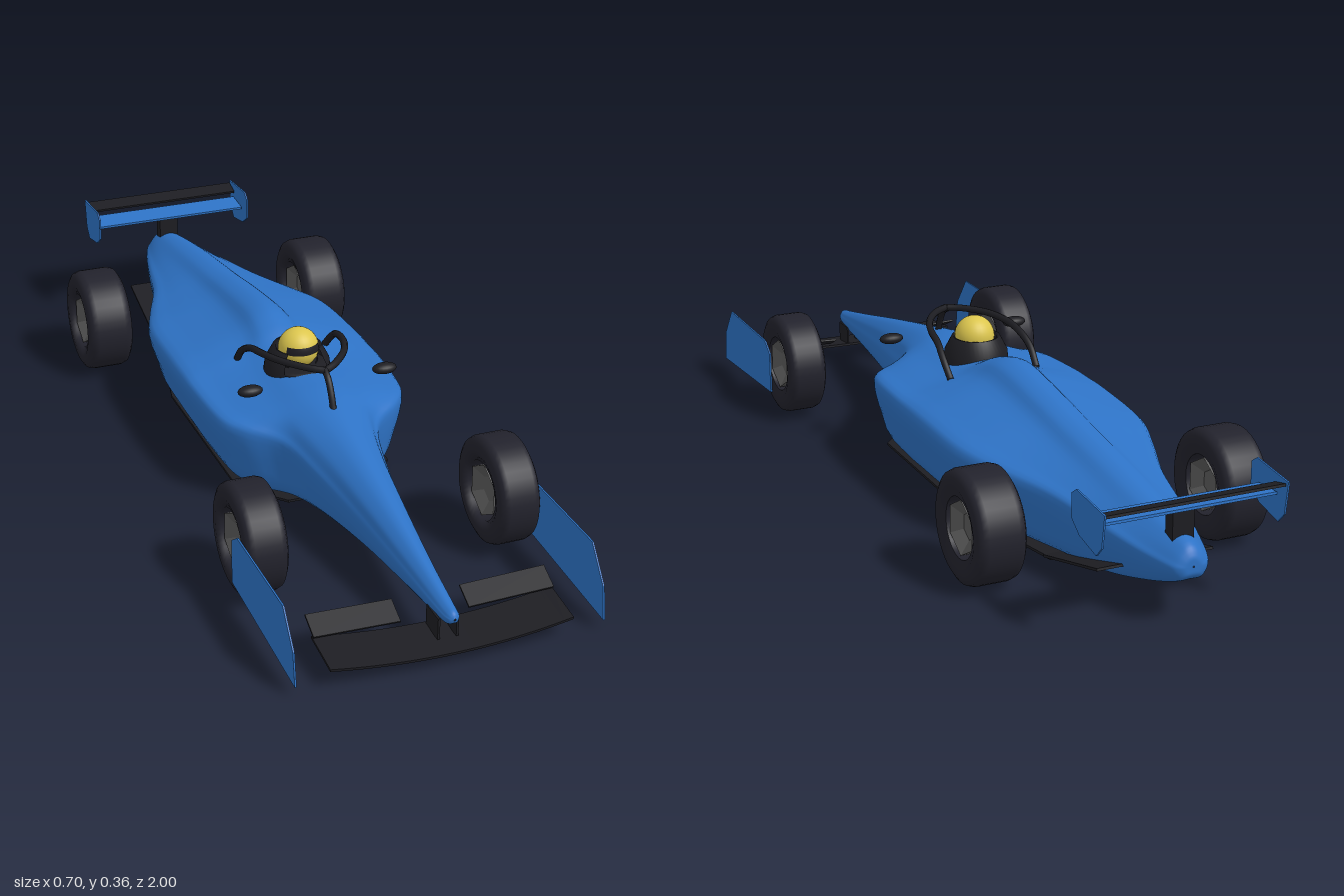
import * as THREE from 'three';

const mat = (name, color, side = THREE.FrontSide) => {
  const m = new THREE.MeshStandardMaterial({ color, side });
  m.name = name;
  return m;
};

export function createModel() {
  const car = new THREE.Group();
  car.name = 'racingCar';
  const blue = mat('bodyBlue', 0x2e73c6);
  const black = mat('trimBlack', 0x1d1d22, THREE.DoubleSide);
  const rubber = mat('tyreRubber', 0x22222c);
  const grey = mat('rimGrey', 0x5a5a5a);
  const yellow = mat('helmetYellow', 0xdcc64e);

  const add = (name, geo, material, x = 0, y = 0, z = 0) => {
    const m = new THREE.Mesh(geo, material);
    m.name = name;
    m.position.set(x, y, z);
    car.add(m);
    return m;
  };
  const V = (x, y, z) => new THREE.Vector3(x, y, z);

  // Body: [z, half width, bottom y, bottom half width, shoulder y, hump half width, top y]
  const sections = [
    [0.985, 0.002, 0.102, 0.001, 0.104, 0.0015, 0.106],
    [0.975, 0.014, 0.09, 0.008, 0.104, 0.01, 0.118],
    [0.94, 0.02, 0.083, 0.012, 0.105, 0.014, 0.125],
    [0.8, 0.033, 0.075, 0.02, 0.115, 0.024, 0.155],
    [0.6, 0.056, 0.063, 0.035, 0.135, 0.042, 0.2],
    [0.42, 0.085, 0.05, 0.06, 0.155, 0.062, 0.237],
    [0.3, 0.118, 0.038, 0.09, 0.175, 0.085, 0.26],
    [0.235, 0.19, 0.033, 0.14, 0.19, 0.1, 0.267],
    [0.17, 0.228, 0.03, 0.17, 0.198, 0.104, 0.267],
    [0.02, 0.241, 0.03, 0.18, 0.203, 0.1, 0.268],
    [-0.06, 0.242, 0.03, 0.18, 0.203, 0.082, 0.298],
    [-0.15, 0.242, 0.03, 0.18, 0.202, 0.075, 0.313],
    [-0.33, 0.234, 0.03, 0.175, 0.195, 0.07, 0.29],
    [-0.46, 0.195, 0.03, 0.145, 0.185, 0.065, 0.268],
    [-0.6, 0.143, 0.032, 0.105, 0.175, 0.06, 0.248],
    [-0.75, 0.108, 0.042, 0.075, 0.16, 0.055, 0.224],
    [-0.88, 0.075, 0.072, 0.05, 0.145, 0.045, 0.2],
    [-0.96, 0.048, 0.098, 0.03, 0.138, 0.03, 0.182],
    [-0.983, 0.028, 0.115, 0.018, 0.135, 0.018, 0.16],
    [-0.986, 0.002, 0.134, 0.001, 0.136, 0.0015, 0.138],
  ];
  const rings = sections.map(([z, w, bot, bw, sh, hw, top]) => {
    const h = top - sh;
    const half = [
      [0, bot], [bw, bot + 0.02 * (sh - bot)], [Math.max(bw, w * 0.93), (bot + sh) / 2], [w, sh],
      [hw + (w - hw) * 0.6, sh + h * 0.27], [hw, sh + h * 0.6], [hw * 0.5, top - h * 0.1], [0, top],
    ];
    const mirror = half.slice(1, 7).reverse().map(([x, y]) => [-x, y]);
    return [...half, ...mirror].map(([x, y]) => V(x, y, z));
  });
  const columns = rings[0].map((_, j) => new THREE.CatmullRomCurve3(rings.map((r) => r[j]), false, 'catmullrom', 0.5));
  const rows = 95, around = 56, pos = [], idx = [];
  for (let i = 0; i <= rows; i++) {
    const ring = new THREE.CatmullRomCurve3(columns.map((c) => c.getPoint(i / rows)), true, 'catmullrom', 0.45);
    for (let j = 0; j < around; j++) {
      pos.push(...ring.getPoint(j / around).toArray());
      if (i === rows) continue;
      const a = i * around + j, b = i * around + (j + 1) % around;
      idx.push(a, a + around, b, b, a + around, b + around);
    }
  }
  const body = new THREE.BufferGeometry();
  body.setAttribute('position', new THREE.Float32BufferAttribute(pos, 3));
  body.setIndex(idx);
  body.computeVertexNormals();
  add('body', body, blue);

  // Floor and upswept diffuser
  const floorShape = new THREE.Shape([
    [-0.1, 0.29], [0.1, 0.29], [0.19, 0.19], [0.193, -0.3], [0.13, -0.6], [-0.13, -0.6], [-0.193, -0.3], [-0.19, 0.19],
  ].map(([x, z]) => new THREE.Vector2(x, -z)));
  const floorGeo = new THREE.ExtrudeGeometry(floorShape, { depth: 0.006, bevelEnabled: false });
  add('floor', floorGeo.rotateX(-Math.PI / 2), black, 0, 0.018, 0);
  const diffuser = add('diffuser', new THREE.BoxGeometry(0.275, 0.006, 0.26), black, 0, 0.056, -0.705);
  diffuser.rotation.x = 0.27;

  // Wheels: tyre with open centre, dished six-sided rim
  const wheel = (name, x, y, z, r, w) => {
    const h = w / 2, inner = 0.069;
    const profile = [
      [inner, -h * 0.86], [r * 0.72, -h], [r * 0.87, -h * 0.97], [r * 0.965, -h * 0.84], [r, -h * 0.6],
      [r, h * 0.6], [r * 0.965, h * 0.84], [r * 0.87, h * 0.97], [r * 0.72, h], [inner, h * 0.86], [inner, -h * 0.86],
    ].map((p) => new THREE.Vector2(...p));
    add(name + 'Tyre', new THREE.LatheGeometry(profile, 40).rotateZ(Math.PI / 2), rubber, x, y, z);
    const dish = [
      [0, -0.45], [0.032, -0.45], [0.064, -0.8], [0.064, 0.8], [0.032, 0.45], [0, 0.45],
    ].map(([a, b]) => new THREE.Vector2(a, b * h));
    const rim = new THREE.LatheGeometry(dish, 6, Math.PI / 6).toNonIndexed().rotateZ(Math.PI / 2);
    rim.computeVertexNormals();
    add(name + 'Rim', rim, grey, x, y, z);
  };

  // Thin vertical plate from a [z, y] outline
  const plate = (name, outline, x) => {
    const s = new THREE.Shape(outline.map(([z, y]) => new THREE.Vector2(-z, y)));
    const g = new THREE.ExtrudeGeometry(s, { depth: 0.004, bevelEnabled: false });
    add(name, g.translate(0, 0, -0.002).rotateY(Math.PI / 2), blue, x);
  };
  const frontOutline = [[0.985, 0.023], [0.973, 0.1], [0.915, 0.175], [0.64, 0.175], [0.605, 0.15], [0.605, 0.045]];
  const rearOutline = [
    [-0.855, 0.285], [-0.875, 0.299], [-0.998, 0.288], [-0.988, 0.215], [-0.965, 0.19], [-0.89, 0.205], [-0.855, 0.23],
  ];

  for (const [side, s] of [['left', 1], ['right', -1]]) {
    wheel(side + 'Front', s * 0.294, 0.132, 0.572, 0.125, 0.098);
    wheel(side + 'Rear', s * 0.293, 0.128, -0.593, 0.128, 0.115);
    plate(side + 'FrontEndplate', frontOutline, s * 0.346);
    plate(side + 'RearEndplate', rearOutline, s * 0.209);

    // Front flap, wing pylon and mirror
    const flap = add(side + 'FrontFlap', new THREE.BoxGeometry(0.195, 0.005, 0.056), black, s * 0.175, 0.074, 0.865);
    flap.rotation.set(0.45, 0, s * 0.05);
    add(side + 'FrontPylon', new THREE.BoxGeometry(0.005, 0.05, 0.06), black, s * 0.021, 0.067, 0.925);
    const mirror = add(side + 'Mirror', new THREE.SphereGeometry(1, 20, 12), black, s * 0.165, 0.283, 0.215);
    mirror.scale.set(0.03, 0.013, 0.018);

    // Halo side tube
    const arm = new THREE.CatmullRomCurve3([
      V(s * 0.112, 0.245, -0.025), V(s * 0.114, 0.285, 0.015), V(s * 0.108, 0.31, 0.06),
      V(s * 0.1, 0.322, 0.12), V(s * 0.075, 0.328, 0.185), V(s * 0.03, 0.329, 0.24), V(0, 0.328, 0.262),
    ]);
    add(side + 'Halo', new THREE.TubeGeometry(arm, 32, 0.0085, 8), black);
  }

  // Halo centre pillar
  const pillar = new THREE.CatmullRomCurve3([V(0, 0.329, 0.25), V(0, 0.315, 0.277), V(0, 0.285, 0.298), V(0, 0.252, 0.312)]);
  add('haloPillar', new THREE.TubeGeometry(pillar, 14, 0.008, 8), black);

  // Front wing: wide blade, tips swept up and slightly back
  const blade = new THREE.BoxGeometry(0.545, 0.006, 0.108, 24, 1, 1).rotateX(0.12);
  const p = blade.attributes.position;
  for (let i = 0; i < p.count; i++) {
    const k = (p.getX(i) / 0.2725) ** 2;
    p.setY(i, p.getY(i) + 0.015 * k);
    p.setZ(i, p.getZ(i) - 0.012 * k);
  }
  blade.computeVertexNormals();
  add('frontWing', blade, black, 0, 0.038, 0.945);

  // Rear wing
  const main = add('rearWingMain', new THREE.BoxGeometry(0.41, 0.006, 0.07), blue, 0, 0.249, -0.925);
  main.rotation.x = 0.07;
  const top = add('rearWingFlap', new THREE.BoxGeometry(0.41, 0.006, 0.042), black, 0, 0.276, -0.972);
  top.rotation.x = 0.25;
  add('rearWingPylon', new THREE.BoxGeometry(0.05, 0.085, 0.03), black, 0, 0.205, -0.925);

  // Cockpit opening and horseshoe headrest
  const opening = add('cockpitOpening', new THREE.SphereGeometry(1, 28, 12), black, 0, 0.262, 0.085);
  opening.scale.set(0.07, 0.012, 0.075);
  const collar = [[0.08, 0.24], [0.076, 0.275], [0.058, 0.31], [0.05, 0.308], [0.048, 0.26]]
    .map((c) => new THREE.Vector2(...c));
  add('headrest', new THREE.LatheGeometry(collar, 32, 0.75, Math.PI * 2 - 1.5), black, 0, 0, 0.08);

  // Helmet and visor
  add('helmet', new THREE.SphereGeometry(0.048, 28, 20), yellow, 0, 0.308, 0.088);
  add('visor', new THREE.SphereGeometry(0.0495, 24, 6, Math.PI * 0.5 - 0.95, 1.9, 1.22, 0.38)
    .rotateY(0), black, 0, 0.308, 0.088);

  return car;
}
